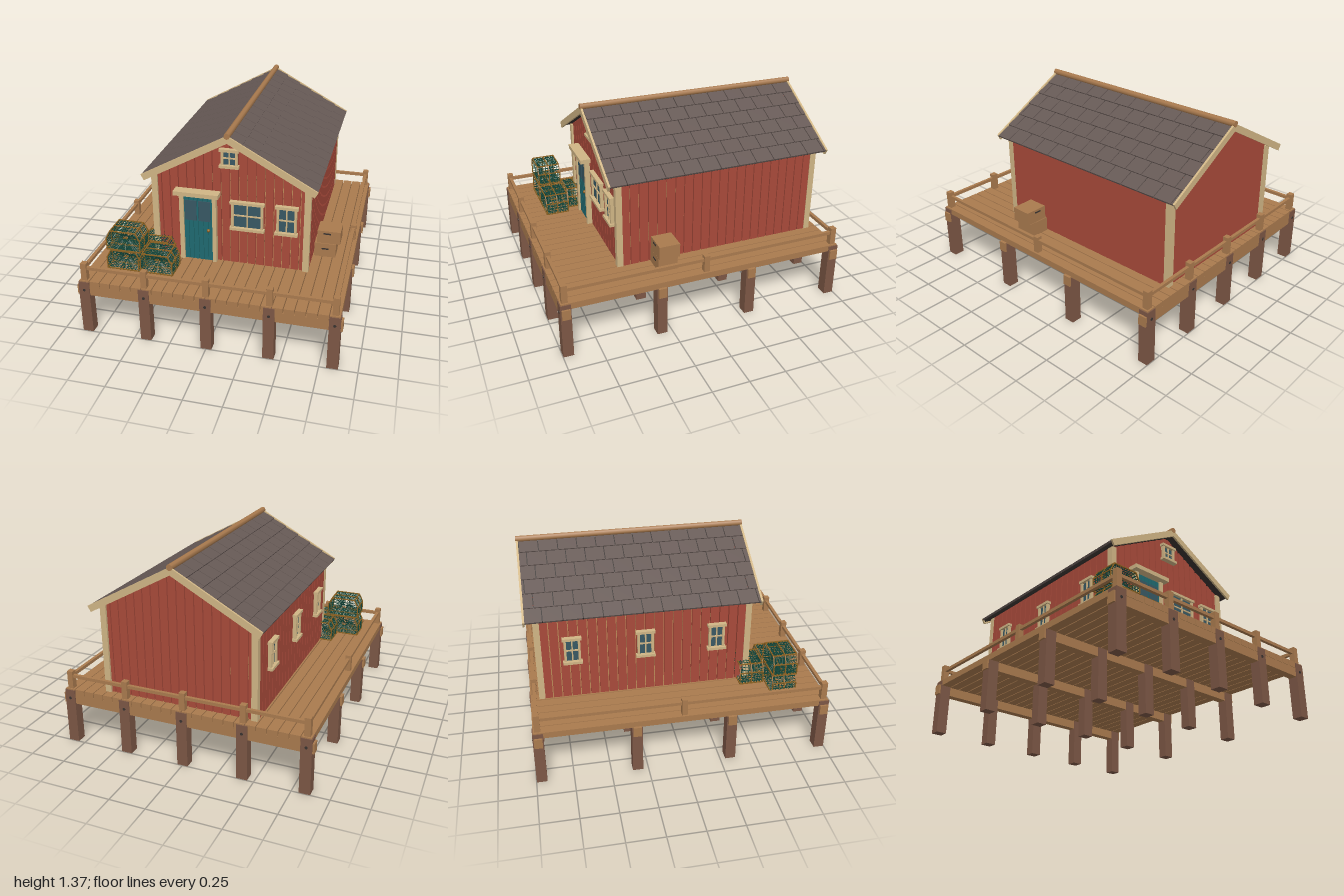
import * as THREE from 'three';
import { mergeGeometries } from 'three/addons/utils/BufferGeometryUtils.js';

const mat = (name, color) => {
  const m = new THREE.MeshStandardMaterial({ color });
  m.name = name;
  return m;
};

// Box geometry from its limits on each axis
const box = (x0, x1, y0, y1, z0, z1) =>
  new THREE.BoxGeometry(x1 - x0, y1 - y0, z1 - z0)
    .translate((x0 + x1) / 2, (y0 + y1) / 2, (z0 + z1) / 2);

// Thin square rod between two points
function rod(a, b, t) {
  const d = b.clone().sub(a);
  const q = new THREE.Quaternion().setFromUnitVectors(new THREE.Vector3(0, 1, 0), d.clone().normalize());
  const mid = a.clone().add(b).multiplyScalar(0.5);
  return new THREE.BoxGeometry(t, d.length() + t * 0.5, t).applyQuaternion(q).translate(mid.x, mid.y, mid.z);
}

function part(parent, name, material, geoms) {
  const mesh = new THREE.Mesh(mergeGeometries(geoms), material);
  mesh.name = name;
  parent.add(mesh);
  return mesh;
}

export function createModel() {
  const model = new THREE.Group();
  model.name = 'dockShed';
  const red = mat('barn red', 0xa84a3a), cream = mat('cream trim', 0xd0b585);
  const teal = mat('teal door', 0x1f6a70), glass = mat('window glass', 0x385863);
  const wood = mat('deck wood', 0xa97a4e), pile = mat('pile wood', 0x7c5745);
  const slate = mat('roof shingle', 0x665955), dark = mat('dark iron', 0x38322f);
  const wire = mat('green wire', 0x12463a), ochre = mat('ochre', 0x8c6222);
  const group = (name) => {
    const g = new THREE.Group();
    g.name = name;
    model.add(g);
    return g;
  };

  // Piles, cross beams and bolts
  const pier = group('pier');
  const pileX = [-0.835, -0.4175, 0, 0.4175, 0.835], pileZ = [-0.963, -0.321, 0.321, 0.963];
  const piles = [], beams = [], bolts = [];
  for (const z of pileZ) {
    beams.push(box(-0.885, 0.885, 0.29, 0.36, z - 0.028, z + 0.028));
    for (const x of pileX) {
      const out = Math.abs(z) > 0.9;
      piles.push(box(x - 0.037, x + 0.037, 0, out ? 0.39 : 0.354, z - 0.035, z + 0.035));
      if (out) bolts.push(new THREE.CylinderGeometry(0.01, 0.01, 0.006, 8).rotateX(Math.PI / 2)
        .translate(x, 0.33, z + Math.sign(z) * 0.035));
    }
  }
  part(pier, 'piles', pile, piles);
  part(pier, 'crossBeams', wood, beams);
  part(pier, 'bolts', dark, bolts);

  // Deck planks running front to back
  const planks = [], nPlank = 24, pitch = 1.74 / nPlank;
  for (let i = 0; i < nPlank; i++) {
    const x = -0.87 + i * pitch;
    planks.push(box(x + 0.003, x + pitch - 0.003, 0.354, 0.398, -0.993, 0.993));
  }
  part(pier, 'deckPlanks', wood, planks);

  // Railing
  const rails = [], posts = [];
  for (const s of [-1, 1]) {
    rails.push(box(-0.84, 0.84, 0.474, 0.496, s * 0.963 - 0.011, s * 0.963 + 0.011));
    rails.push(box(s * 0.835 - 0.011, s * 0.835 + 0.011, 0.474, 0.496, -0.963, 0.963));
    for (const x of pileX) posts.push(box(x - 0.02, x + 0.02, 0.396, 0.522, s * 0.963 - 0.02, s * 0.963 + 0.02));
    posts.push(box(s * 0.835 - 0.019, s * 0.835 + 0.019, 0.396, 0.515, -0.019, 0.019));
  }
  part(pier, 'rails', wood, rails);
  part(pier, 'railPosts', wood, posts);

  // Board walls, gable boards follow the roof
  const house = group('house');
  const cx = 0.0465, cz = -0.2, slope = 0.552, apex = 1.352;
  const gable = [], side = [];
  const nG = 18, wG = 1.07 / nG, nS = 22, wS = 1.40 / nS, gap = 0.0035;
  for (let i = 0; i < nG; i++) {
    const x = cx - 0.535 + i * wG;
    const top = apex - 0.026 - slope * Math.abs(x + wG / 2 - cx);
    for (const z of [0.51, -0.91]) gable.push(box(x + gap, x + wG - gap, 0.396, top, z - 0.008, z + 0.008));
  }
  for (let i = 0; i < nS; i++) {
    const z = cz - 0.70 + i * wS;
    for (const x of [cx - 0.532, cx + 0.532]) side.push(box(x - 0.008, x + 0.008, 0.396, 1.03, z + gap, z + wS - gap));
  }
  part(house, 'gableBoards', red, gable);
  part(house, 'sideBoards', red, side);
  const corners = [];
  for (const x of [cx - 0.523, cx + 0.523]) for (const z of [cz - 0.712, cz + 0.712])
    corners.push(box(x - 0.021, x + 0.021, 0.396, 1.025, z - 0.021, z + 0.021));
  part(house, 'cornerBoards', cream, corners);

  // Roof: two slopes of shingle rows, bargeboards, ridge cap
  const roof = group('roof');
  roof.position.set(cx, apex, cz);
  const angle = Math.atan(slope), len = 0.592 / Math.cos(angle), rows = 6, step = len / rows, half = 0.78;
  for (const s of [0, 1]) {
    const turn = new THREE.Group(), pane = new THREE.Group();
    turn.name = s ? 'leftSlope' : 'rightSlope';
    turn.rotation.y = s * Math.PI;
    pane.rotation.z = -angle;
    turn.add(pane);
    roof.add(turn);
    part(pane, 'roofDeck', dark, [box(0, len - 0.008, -0.03, -0.012, -half, half)]);
    const tiles = [], tileW = 0.13;
    for (let r = 0; r < rows; r++) {
      for (let z = -half - (r * 0.37 % 1) * tileW; z < half; z += tileW) {
        const z0 = Math.max(z, -half), z1 = Math.min(z + tileW - 0.006, half);
        if (z1 - z0 < 0.01) continue;
        tiles.push(box(-0.005, step + 0.002, -0.013, 0, z0, z1).rotateZ(0.07).translate(r * step, -0.008, 0));
      }
    }
    part(pane, 'shingles', slate, tiles);
    part(pane, 'bargeboards', cream, [-1, 1].map((e) =>
      box(0, len + 0.002, -0.043, 0.002, e * 0.786 - 0.007, e * 0.786 + 0.007)));
  }
  part(roof, 'ridgeCap', wood, [new THREE.CylinderGeometry(0.021, 0.021, 1.59, 8).rotateX(Math.PI / 2)]);

  // Windows: pane, frame, glazing bars, lintel and sill
  function addWindow(name, w, h, pos, turn = 0, bar = 0.009) {
    const g = new THREE.Group();
    g.name = name;
    g.position.set(...pos);
    g.rotation.y = turn;
    house.add(g);
    const x = w / 2, y = h / 2, f = 0.016;
    part(g, 'glass', glass, [box(-x + 0.005, x - 0.005, -y, y, 0.002, 0.01)]);
    part(g, 'frame', cream, [
      box(-x, -x + f, -y, y, 0, 0.024), box(x - f, x, -y, y, 0, 0.024),
      box(-x - 0.01, x + 0.01, y - f, y + 0.003, 0, 0.032), box(-x - 0.01, x + 0.01, -y - 0.003, -y + f, 0, 0.036),
      box(-bar / 2, bar / 2, -y, y, 0.004, 0.018), box(-x, x, -bar / 2, bar / 2, 0.004, 0.018)]);
  }
  const front = 0.518;
  addWindow('wideWindow', 0.216, 0.205, [0.167, 0.77, front]);
  addWindow('narrowWindow', 0.135, 0.205, [0.434, 0.77, front]);
  addWindow('gableWindow', 0.112, 0.125, [0.0465, 1.178, front]);
  for (const z of [0.29, -0.2, -0.69]) addWindow('sideWindow', 0.11, 0.19, [cx - 0.54, 0.767, z], -Math.PI / 2);

  // Door with planks, two lights, frame and knob
  const door = new THREE.Group();
  door.name = 'door';
  house.add(door);
  const leaf = [box(-0.272, -0.068, 0.398, 0.9, front, front + 0.012)], nD = 6, wD = 0.204 / nD;
  for (let i = 0; i < nD; i++)
    leaf.push(box(-0.272 + i * wD + 0.002, -0.272 + (i + 1) * wD - 0.002, 0.4, 0.895, front, front + 0.022));
  part(door, 'doorPlanks', teal, leaf);
  part(door, 'doorLights', glass, [-0.223, -0.127].map((x) => box(x - 0.041, x + 0.041, 0.7, 0.85, front + 0.02, front + 0.027)));
  part(door, 'doorFrame', cream, [
    box(-0.3, -0.27, 0.398, 0.9, front, 0.555), box(-0.07, -0.043, 0.398, 0.9, front, 0.555),
    box(-0.33, -0.018, 0.898, 0.928, front, 0.592)]);
  part(door, 'knob', ochre, [new THREE.SphereGeometry(0.012, 12, 8).translate(-0.098, 0.638, front + 0.034)]);

  // Stacked crates with grip slots
  const crates = group('crates');
  part(crates, 'crateBoxes', wood, [box(0.595, 0.745, 0.398, 0.5, 0.165, 0.3), box(0.612, 0.772, 0.506, 0.6, 0.16, 0.303),
    box(0.62, 0.74, 0.49, 0.51, 0.18, 0.29)]);
  part(crates, 'gripSlots', dark, [box(0.655, 0.705, 0.575, 0.585, 0.3, 0.306), box(0.655, 0.705, 0.575, 0.585, 0.157, 0.165),
    box(0.645, 0.695, 0.455, 0.465, 0.297, 0.303)]);

  // Wire traps with funnel ends
  const P = (p, z) => new THREE.Vector3(p[0], p[1], z);
  const outline = [[-0.118, 0.004], [0.118, 0.004], [0.118, 0.088], [0.088, 0.143], [-0.088, 0.143], [-0.118, 0.088]];
  const rim = outline.flatMap((a, i) => {
    const b = outline[(i + 1) % outline.length];
    const n = Math.round(Math.hypot(b[0] - a[0], b[1] - a[1]) / 0.021);
    return Array.from({ length: n }, (_, k) => [a[0] + (b[0] - a[0]) * k / n, a[1] + (b[1] - a[1]) * k / n]);
  });
  const loop = (z, t) => outline.map((a, i) => rod(P(a, z), P(outline[(i + 1) % outline.length], z), t));
  const depth = 0.082;
  const frame = [-depth, 0, depth].flatMap((z) => loop(z, 0.007));
  for (const p of outline) frame.push(rod(P(p, -depth), P(p, depth), 0.007));
  const mesh = [];
  for (let i = 1; i < 8; i++) mesh.push(...loop(-depth + i * depth / 4, 0.0032));
  for (const p of rim) mesh.push(rod(P(p, -depth), P(p, depth), 0.0032));
  for (const s of [-1, 1]) {
    mesh.push(new THREE.TorusGeometry(0.025, 0.003, 4, 16).translate(0, 0.073, s * 0.035));
    for (const p of rim) {
      const a = Math.atan2(p[1] - 0.073, p[0]);
      mesh.push(rod(P([0.025 * Math.cos(a), 0.073 + 0.025 * Math.sin(a)], s * 0.035), P(p, s * depth), 0.003));
    }
  }
  const frameGeo = mergeGeometries(frame), meshGeo = mergeGeometries(mesh);
  for (const [x, y, z] of [[-0.625, 0.398, 0.716], [-0.402, 0.398, 0.716], [-0.62, 0.544, 0.716], [-0.465, 0.398, 0.535]]) {
    const trap = group('wireTrap');
    trap.position.set(x, y, z);
    part(trap, 'trapFrame', ochre, [frameGeo]);
    part(trap, 'trapMesh', wire, [meshGeo]);
  }
  return model;
}
